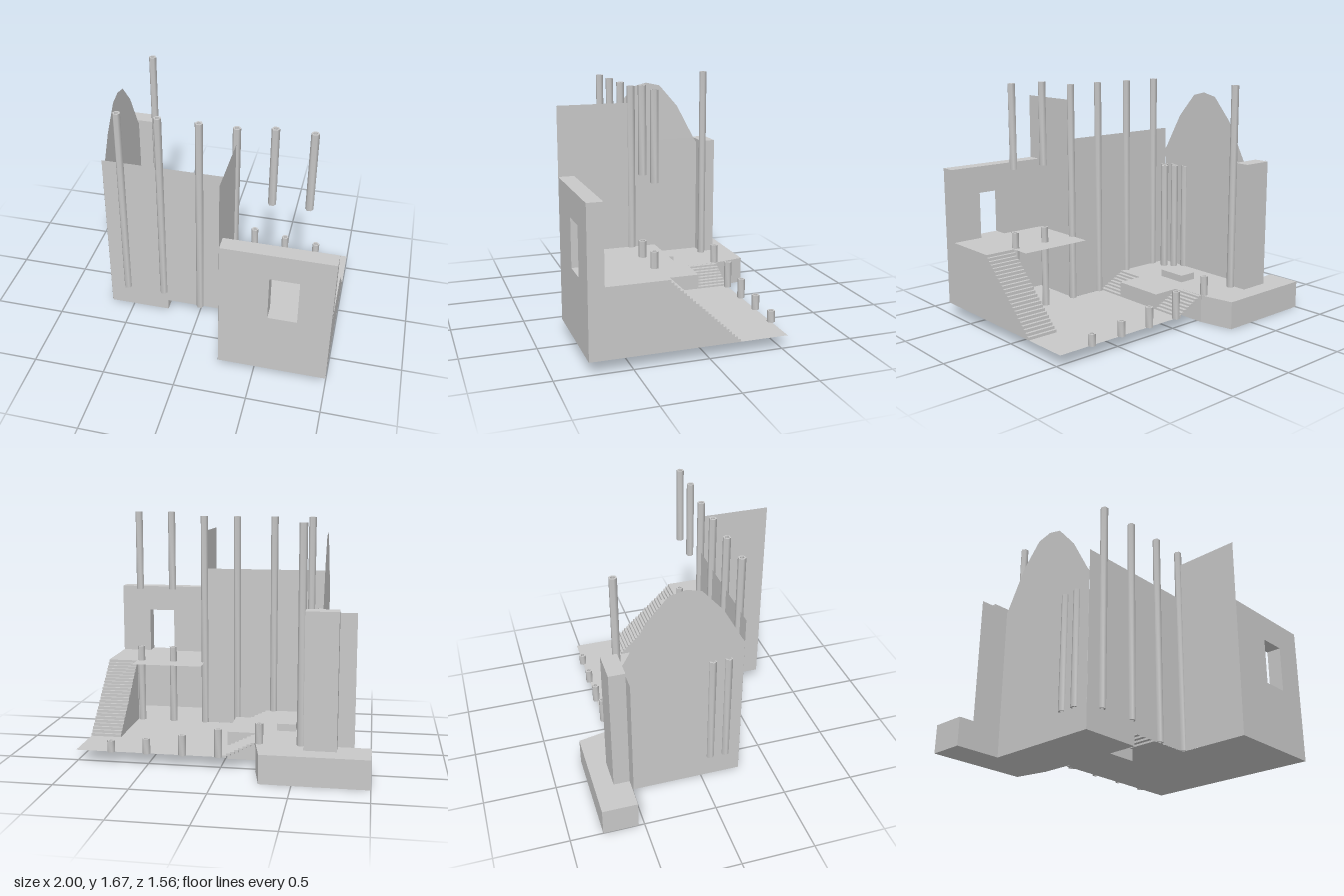
import * as THREE from 'three';
import { toCreasedNormals } from 'three/addons/utils/BufferGeometryUtils.js';

export function createModel() {
  const model = new THREE.Group();
  model.name = 'ruinedHall';
  const stone = new THREE.MeshStandardMaterial({ color: 0xc8c8c8, side: THREE.DoubleSide });
  stone.name = 'paleStone';

  const add = (name, geometry, x = 0, y = 0, z = 0) => {
    const mesh = new THREE.Mesh(geometry, stone);
    mesh.name = name;
    mesh.position.set(x, y, z);
    model.add(mesh);
    return mesh;
  };
  const shapeOf = (pts) => new THREE.Shape(pts.map(([a, b]) => new THREE.Vector2(a, b)));
  const extrude = (shape, depth) => new THREE.ExtrudeGeometry(shape, { depth, bevelEnabled: false });
  const box = (name, x0, x1, y0, y1, z0, z1) =>
    add(name, new THREE.BoxGeometry(x1 - x0, y1 - y0, z1 - z0), (x0 + x1) / 2, (y0 + y1) / 2, (z0 + z1) / 2);
  // Outline in x and z
  const plan = (pts) => shapeOf(pts.map(([x, z]) => [x, -z]));
  const flat = (name, pts, y) => add(name, new THREE.ShapeGeometry(plan(pts)).rotateX(-Math.PI / 2), 0, y, 0);
  // Outline in z and y, on the plane at x
  const side = (name, pts, x) => add(name, new THREE.ShapeGeometry(shapeOf(pts)).rotateY(-Math.PI / 2), x, 0, 0);

  const GROUND = 0.085, DAIS = 0.195, GALLERY = 0.55;
  const FRONT = 0.28, BACK = -0.54;

  // Raised platform with the annex at the back
  add('platform', extrude(plan([
    [-0.67, FRONT], [-0.235, FRONT], [-0.235, 0.065], [-0.015, 0.065], [-0.015, -0.315], [-0.235, -0.315],
    [-0.24, BACK], [-0.29, -0.78], [-1, -0.78], [-1, BACK], [-0.67, BACK],
  ]), DAIS).rotateX(-Math.PI / 2));
  box('altar', -0.48, -0.35, DAIS, 0.245, -0.235, -0.02);

  // Hall floor and gallery
  flat('hallFloor', [[-0.015, BACK], [1, BACK], [1, 0.78], [0.26, 0.78], [0.26, FRONT], [-0.015, FRONT]], GROUND);
  flat('galleryFloor', [[0.26, 0.12], [0.78, 0.12], [0.78, FRONT], [1, FRONT], [1, 0.675], [0.26, 0.675]], GALLERY);

  // Two short flights up to the platform
  const count = 8, tread = 0.22 / count, rise = (DAIS - GROUND) / count;
  for (const [name, z0, z1] of [['frontSteps', 0.065, FRONT], ['backSteps', BACK, -0.315]]) {
    for (let i = 0; i < count; i++) {
      const top = DAIS - i * rise, x = -0.235 + i * tread;
      box(name, x, x + tread, top - rise * 1.2, top, z0, z1);
    }
  }

  // Staircase to the gallery
  const stair = [[-0.21, GROUND]], steps = 24;
  for (let i = 0; i < steps; i++) {
    const y = GROUND + (GALLERY - GROUND) * (i + 1) / steps;
    stair.push([-0.21 + 0.49 * i / steps, y], [-0.21 + 0.49 * (i + 1) / steps, y]);
  }
  stair.push([FRONT, GROUND]);
  add('galleryStairs', extrude(shapeOf(stair), 0.22).rotateY(-Math.PI / 2), 1, 0, 0);
  side('gallerySideWall', [[FRONT, GROUND], [0.675, GROUND], [0.675, GALLERY], [FRONT, GALLERY]], 1);

  // Thick front wall with its window
  const wall = shapeOf([[0.26, GROUND], [1, GROUND], [1, 1.07], [0.26, 1.07]]);
  wall.holes.push(shapeOf([[0.585, GALLERY], [0.585, 0.88], [0.78, 0.88], [0.78, GALLERY]]));
  add('windowWall', extrude(wall, 0.105), 0, 0, 0.675);

  // Thin walls
  add('naveWall', new THREE.ShapeGeometry(shapeOf([
    [-0.67, 0], [-0.235, 0], [-0.235, GROUND], [0.26, GROUND], [0.26, 1.26], [-0.67, 1.26],
  ])), 0, 0, FRONT + 0.001);
  side('transeptWall', [[FRONT, GROUND], [0.78, GROUND], [0.78, 1.535], [FRONT, 1.535]], 0.259);
  side('archedEndWall', [
    [BACK, 0], [FRONT, 0], [FRONT, 1.1], [0.265, 1.12], [0.125, 1.37], [-0.02, 1.535], [-0.12, 1.56],
    [-0.23, 1.535], [-0.375, 1.37], [-0.515, 1.11], [BACK, 1.07],
  ], -0.671);

  // Tower pier and the screen beside it
  box('pier', -0.78, -0.565, DAIS, 1.1, -0.65, BACK);
  add('screenWall', new THREE.ShapeGeometry(shapeOf([[-0.89, DAIS], [-0.67, DAIS], [-0.67, 1.08], [-0.89, 1.08]])), 0, 0, BACK);

  // Hollow six-sided columns
  const column = (name, x, z, y0, y1) => {
    const ro = 0.027, ri = 0.015;
    const profile = [[ro, y0], [ro, y1], [ri, y1], [ri, y0], [ro, y0]].map(([r, y]) => new THREE.Vector2(r, y));
    add(name, toCreasedNormals(new THREE.LatheGeometry(profile, 6, Math.PI / 6), 1.2), x, 0, z);
  };
  const columnX = [-0.54, -0.265, 0.01, 0.257, 0.503, 0.75];
  const backTops = [1.645, 0.332, 0.279, 0.226, 0.19, 0.165];
  columnX.forEach((x, i) => {
    const base = i < 2 ? 0.165 : GROUND;
    column('backColumn', x, BACK, base, backTops[i]);
    if (i < 4) {
      column('frontColumn', x, FRONT + 0.003, base, 1.645);
    } else {
      // Broken columns: a stump through the gallery and a detached shaft
      column('brokenColumnStump', x, FRONT + 0.003, base, 0.66);
      column('brokenColumnShaft', x, FRONT + 0.003, 1.1, 1.675);
    }
  });

  // Cluster of small pipes by the end wall
  for (const [x, z] of [[-0.672, 0.065], [-0.617, 0.12], [-0.672, 0.175], [-0.565, 0.175], [-0.617, 0.23]]) {
    column('clusterPipe', x, z, 0.165, 0.988);
  }
  return model;
}
